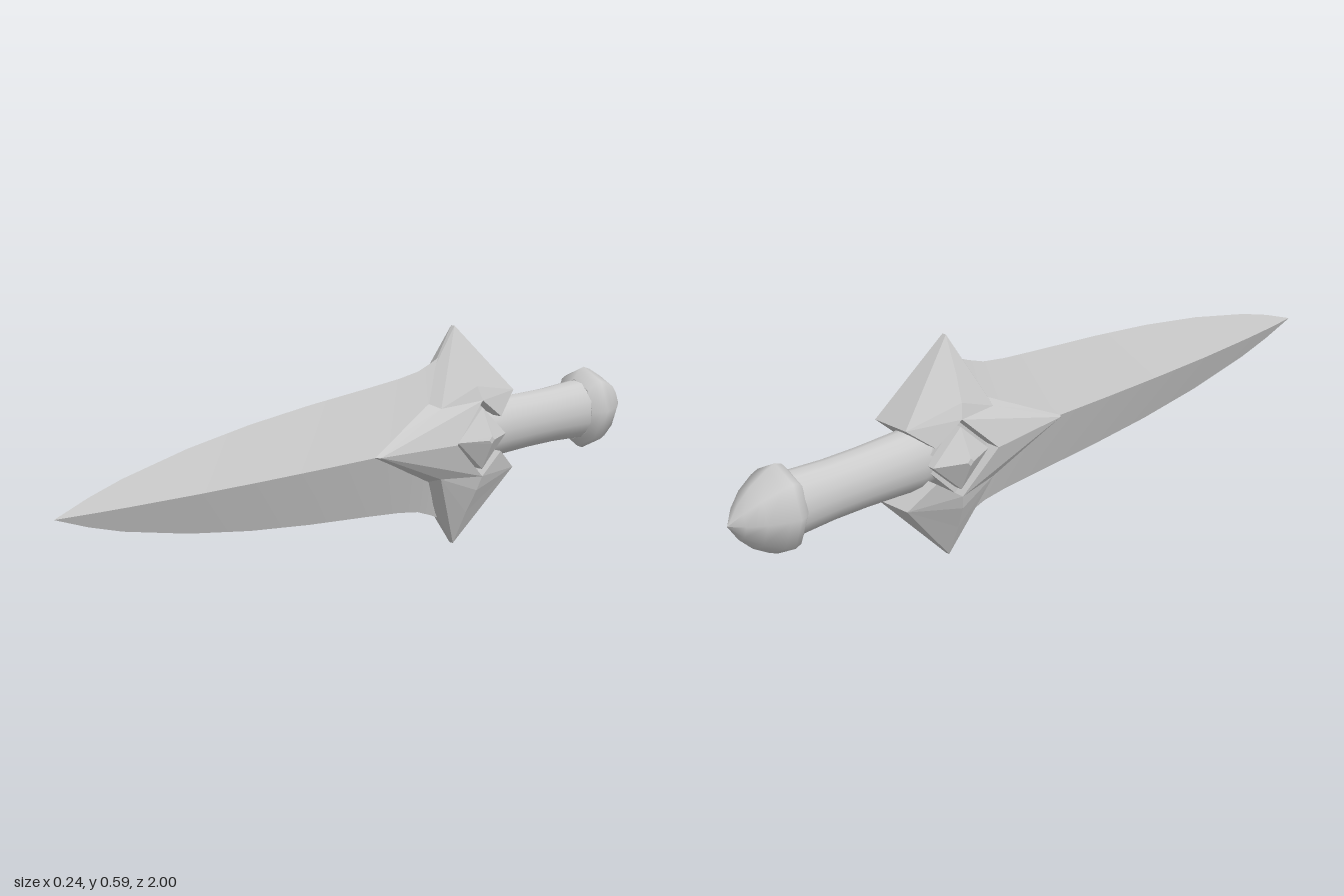
import * as THREE from 'three';

const AXIS_Y = 0.296; // height of the dagger's long axis

const smoothMat = new THREE.MeshStandardMaterial({ color: 0xcccccc });
const flatMat = new THREE.MeshStandardMaterial({ color: 0xcccccc, flatShading: true });

function addMesh(group, name, geometry, material) {
  const mesh = new THREE.Mesh(geometry, material);
  mesh.name = name;
  group.add(mesh);
  return mesh;
}

// Mirrors one quadrant's polygons over x and y, flipping the winding where needed
function mirroredGeometry(polygons) {
  const pos = [];
  for (const sx of [1, -1]) for (const sy of [1, -1]) {
    for (const poly of polygons) {
      for (let i = 1; i < poly.length - 1; i++) {
        const tri = [poly[0], poly[i], poly[i + 1]];
        if (sx * sy < 0) tri.reverse();
        for (const [x, y, z] of tri) pos.push(x * sx, y * sy, z);
      }
    }
  }
  const g = new THREE.BufferGeometry();
  g.setAttribute('position', new THREE.Float32BufferAttribute(pos, 3));
  g.computeVertexNormals();
  return g;
}

// Diamond-section blade: four strips, smooth along the length, sharp at the edges
function bladeGeometry() {
  // z, half height, half thickness
  const sections = [
    [1, 0, 0], [0.9, 0.035, 0.014], [0.8, 0.063, 0.025], [0.6, 0.104, 0.041],
    [0.4, 0.133, 0.05], [0.2, 0.153, 0.055], [0, 0.168, 0.057],
    [-0.12, 0.178, 0.058], [-0.19, 0.188, 0.058], [-0.24, 0.205, 0.058], [-0.3, 0.23, 0.056],
  ];
  const pos = [], index = [];
  for (const sx of [1, -1]) for (const sy of [1, -1]) {
    const base = pos.length / 3;
    for (const [z, h, t] of sections) pos.push(sx * t, 0, z, 0, sy * h, z);
    for (let i = 0; i < sections.length - 1; i++) {
      const a = base + i * 2, b = a + 1, c = a + 2, d = a + 3;
      if (sx * sy > 0) index.push(a, c, d, a, d, b);
      else index.push(a, d, c, a, b, d);
    }
  }
  const g = new THREE.BufferGeometry();
  g.setAttribute('position', new THREE.Float32BufferAttribute(pos, 3));
  g.setIndex(index);
  g.computeVertexNormals();
  return g;
}

// Winged guard with a diamond opening on each side and a notch at the back
function guardGeometry() {
  const inward = ([, y, z], x = 0) => [x, y, z];
  const front = [0.067, 0, 0.015], frontIn = [0.035, 0, 0.045];
  const neck = [0.06, 0.094, -0.215], neckIn = [0, 0.112, -0.192];
  const tip = [0.006, 0.294, -0.32];
  const ridgeHigh = [0.047, 0.204, -0.325], ridgeLow = [0.076, 0.14, -0.335];
  const back = [0.055, 0.106, -0.5], notch = [0.08, 0.047, -0.425];
  const holeFront = [0.1, 0, -0.235], holeTop = [0.087, 0.102, -0.345];
  return mirroredGeometry([
    // side
    [front, holeFront, holeTop, neck],
    [neck, holeTop, ridgeLow], [neck, ridgeLow, ridgeHigh], [neck, ridgeHigh, tip],
    [back, tip, ridgeHigh], [back, ridgeHigh, ridgeLow], [back, ridgeLow, holeTop],
    [back, holeTop, notch],
    // front bevel
    [frontIn, front, neck, neckIn], [neckIn, neck, tip, inward(tip)],
    // back of the wing and notch wall
    [back, inward(back), inward(tip), tip],
    [notch, inward(notch), inward(back), back],
    // walls of the opening
    [holeFront, inward(holeFront, 0.03), inward(holeTop, 0.03), holeTop],
    [holeTop, inward(holeTop, 0.03), inward(notch, 0.03), notch],
  ]);
}

// Lathe round the long axis; profile is [radius, distance towards the back]
function latheAlongBack(profile, sides) {
  const pts = profile.map(([r, d]) => new THREE.Vector2(r, d));
  return new THREE.LatheGeometry(pts, sides).rotateX(-Math.PI / 2).scale(0.8, 1, 1);
}

export function createModel() {
  const model = new THREE.Group();
  model.name = 'dagger';
  const body = new THREE.Group();
  body.name = 'daggerBody';
  body.position.y = AXIS_Y;
  model.add(body);

  addMesh(body, 'blade', bladeGeometry(), smoothMat);
  addMesh(body, 'guard', guardGeometry(), flatMat);

  // Seat block and faceted gem, shared by both sides
  const y = 0.083, z = 0.092, cz = -0.347;
  addMesh(body, 'gemSeat', mirroredGeometry([
    [[0.06, 0, cz + 0.11], [0.06, 0, cz - 0.105], [0.06, 0.1, cz]],
    [[0, 0, cz - 0.105], [0, 0.1, cz], [0.06, 0.1, cz], [0.06, 0, cz - 0.105]],
  ]), flatMat);
  const apexF = [0.119, 0, cz + 0.01], apexB = [0.119, 0, cz - 0.01], apexT = [0.119, 0.01, cz];
  const rimF = [0.084, 0, cz + z], rimB = [0.084, 0, cz - z], rimT = [0.084, y, cz];
  const drop = ([, py, pz]) => [0.05, py, pz];
  addMesh(body, 'gems', mirroredGeometry([
    [apexF, apexB, apexT],
    [rimF, apexF, apexT, rimT], [apexB, rimB, rimT, apexT],
    [drop(rimF), rimF, rimT, drop(rimT)], [rimB, drop(rimB), drop(rimT), rimT],
  ]), flatMat);

  // Grip and pointed pommel
  addMesh(body, 'grip', latheAlongBack([
    [0.07, 0.36], [0.082, 0.44], [0.079, 0.5], [0.076, 0.6], [0.076, 0.7], [0.08, 0.78], [0.083, 0.83],
  ], 16), smoothMat);
  addMesh(body, 'pommel', latheAlongBack([
    [0, 0.815], [0.085, 0.815], [0.085, 0.815], [0.108, 0.835], [0.115, 0.855],
    [0.106, 0.88], [0.078, 0.93], [0.042, 0.97], [0, 1],
  ], 8), smoothMat);

  return model;
}
